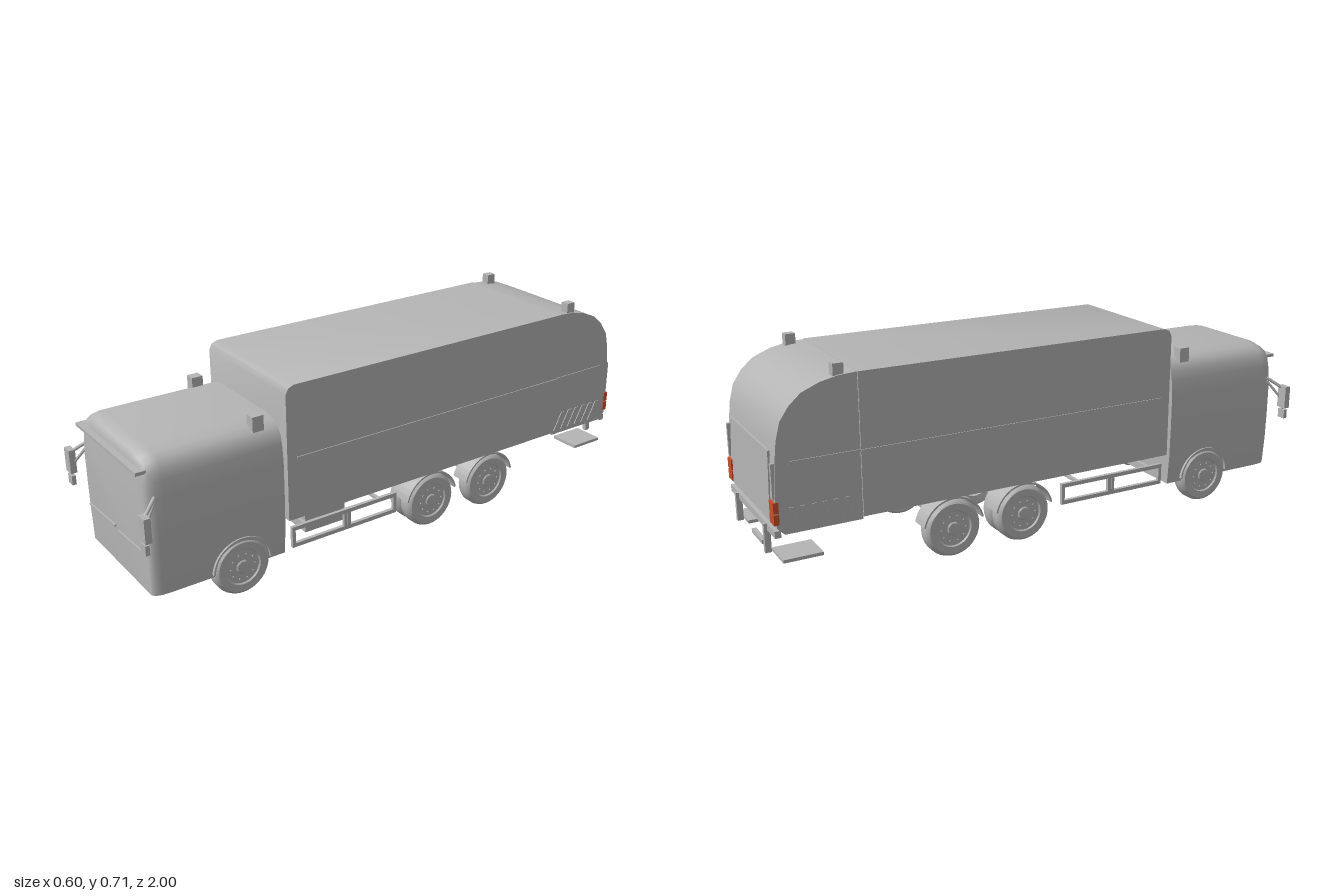
import * as THREE from 'three';
import { toCreasedNormals } from 'three/addons/utils/BufferGeometryUtils.js';

const grey = new THREE.MeshStandardMaterial({ color: 0xb4b4b4 });
grey.name = 'body grey';
const red = new THREE.MeshStandardMaterial({ color: 0xc84e2a });
red.name = 'lamp red';

// Closed side profile from [z, y] points
const sideShape = (points) => new THREE.Shape(points.map(([z, y]) => new THREE.Vector2(-z, y)));

export function createModel() {
  const model = new THREE.Group();
  model.name = 'refuseTruck';

  const add = (name, geo, mat = grey) => {
    const m = new THREE.Mesh(geo, mat);
    m.name = name;
    model.add(m);
    return m;
  };
  // Box given by its limits on each axis
  const box = (name, x0, x1, y0, y1, z0, z1, mat) => {
    const m = add(name, new THREE.BoxGeometry(Math.abs(x1 - x0), y1 - y0, z1 - z0), mat);
    m.position.set((x0 + x1) / 2, (y0 + y1) / 2, (z0 + z1) / 2);
    return m;
  };
  // Straight bar between two points
  const bar = (name, a, b, r) => {
    const p = new THREE.Vector3(...a), q = new THREE.Vector3(...b);
    const m = add(name, new THREE.CylinderGeometry(r, r, p.distanceTo(q), 8));
    m.position.copy(p).add(q).multiplyScalar(0.5);
    m.quaternion.setFromUnitVectors(new THREE.Vector3(0, 1, 0), q.sub(p).normalize());
    return m;
  };
  // Side shape extruded from x0 to x1
  const slab = (name, shape, x0, x1) => {
    const geo = new THREE.ExtrudeGeometry(shape, { depth: x1 - x0, bevelEnabled: false, curveSegments: 20 });
    geo.rotateY(Math.PI / 2).translate(x0, 0, 0);
    return add(name, toCreasedNormals(geo, 0.5));
  };
  // Arched strip around a wheel centre
  const arch = (name, z, r0, r1, x0, x1, start) => {
    const s = new THREE.Shape();
    s.absarc(0, 0, r1, start, Math.PI - start, false);
    s.absarc(0, 0, r0, Math.PI - start, start, true);
    slab(name, s, x0, x1).position.set(0, 0.1, z);
  };

  // Cab: half outline lofted along z with a rounded front edge
  const half = [[0.236, 0.093], [0.244, 0.2], [0.246, 0.3], [0.246, 0.43], [0.24, 0.485],
    [0.232, 0.52], [0.215, 0.544], [0.19, 0.557], [0.15, 0.566]];
  const outline = [...half, ...half.map(([x, y]) => [-x, y]).reverse()];
  // Each section: z, inset of the sides, drop of the roof
  const sections = [[0.49, 0, 0], [0.905, 0, 0], [0.93, 0.002, 0.005], [0.947, 0.007, 0.014],
    [0.956, 0.014, 0.03], [0.96, 0.021, 0.052]];
  const n = outline.length, pos = [], index = [];
  for (const [z, side, drop] of sections)
    for (const [x, y] of outline) {
      const t = Math.max(0, (y - 0.3) / 0.266);
      pos.push(x - Math.sign(x) * side, y - drop * t, z);
    }
  for (let i = 0; i < sections.length - 1; i++)
    for (let j = 0; j < n; j++) {
      const a = i * n + j, b = i * n + (j + 1) % n;
      index.push(a, b, b + n, a, b + n, a + n);
    }
  const last = (sections.length - 1) * n;
  for (let j = 1; j < n - 1; j++) {
    index.push(0, j + 1, j);
    index.push(last, last + j, last + j + 1);
  }
  const cabGeo = new THREE.BufferGeometry();
  cabGeo.setAttribute('position', new THREE.Float32BufferAttribute(pos, 3));
  cabGeo.setIndex(index);
  add('cab', toCreasedNormals(cabGeo, 0.6));
  box('sunVisor', -0.222, 0.222, 0.51, 0.521, 0.945, 0.98);
  for (const x of [-0.115, 0.112])
    box('wiper', x - 0.102, x + 0.102, 0.226, 0.232, 0.958, 0.966).rotation.z = 0.05;

  // Load body and rounded tail
  slab('loadBody', sideShape([[0.476, 0.21], [0.476, 0.652], [0.466, 0.672], [0.445, 0.681],
    [-0.7, 0.681], [-0.7, 0.21]]), -0.246, 0.246);
  slab('tail', sideShape([[-0.7, 0.2], [-0.7, 0.68], [-0.76, 0.676], [-0.82, 0.663], [-0.88, 0.638],
    [-0.92, 0.602], [-0.95, 0.558], [-0.965, 0.5], [-0.973, 0.43], [-0.979, 0.32], [-0.979, 0.225],
    [-0.955, 0.2]]), -0.241, 0.241);
  box('tailPanel', -0.195, 0.195, 0.24, 0.46, -0.982, -0.974).rotation.x = 0.03;

  // Chassis
  box('cabRearCrossmember', -0.1, 0.1, 0.145, 0.195, 0.44, 0.5);
  box('rearCrossmember', -0.1, 0.1, 0.15, 0.2, -0.855, -0.835);
  box('sideTank', 0.1, 0.19, 0.11, 0.185, 0.22, 0.38);
  for (const z of [0.652, -0.118, -0.385]) bar('axle', [-0.2, 0.1, z], [0.2, 0.1, z], 0.012);

  // Rear bumper
  box('rearBumper', -0.235, 0.235, 0.19, 0.213, -0.985, -0.965);
  box('towBar', -0.055, 0.055, 0.102, 0.116, -0.975, -0.96);

  // Wheel profile from inner to outer side: radius, axial offset
  const wheelGeo = toCreasedNormals(new THREE.LatheGeometry([
    [0, -0.02], [0.028, -0.02], [0.03, -0.005], [0.056, -0.005], [0.06, -0.027], [0.088, -0.03],
    [0.096, -0.024], [0.1, -0.014], [0.1, 0.014], [0.096, 0.024], [0.088, 0.03], [0.064, 0.029],
    [0.06, 0.024], [0.024, 0.026], [0.02, 0.03], [0, 0.031],
  ].map(([r, y]) => new THREE.Vector2(r, y)), 40), 0.6);
  const nutGeo = new THREE.CylinderGeometry(0.003, 0.003, 0.006, 6).rotateZ(Math.PI / 2);
  const wheel = (s, x, z) => {
    const w = add('wheel', wheelGeo);
    w.position.set(s * x, 0.1, z);
    w.rotation.z = -s * Math.PI / 2;
  };
  const wheelNuts = (s, x, z) => {
    for (let i = 0; i < 10; i++) {
      const a = i * Math.PI / 5;
      add('wheelNut', nutGeo).position.set(s * (x + 0.026), 0.1 + 0.045 * Math.sin(a), z + 0.045 * Math.cos(a));
    }
  };

  // Everything mirrored left and right
  for (const s of [1, -1]) {
    const sbox = (name, x0, x1, ...rest) => box(name, s * x0, s * x1, ...rest);
    const span = (x0, x1) => (s > 0 ? [x0, x1] : [-x1, -x0]);

    sbox('chassisRail', 0.075, 0.095, 0.145, 0.198, -0.855, 0.5);
    sbox('subframe', 0.075, 0.095, 0.198, 0.211, -0.7, 0.47);

    // Single front and rear wheels, twin wheels on the middle axle
    for (const [x, z] of [[0.217, 0.652], [0.214, -0.118], [0.214, -0.385]]) {
      wheel(s, x, z);
      wheelNuts(s, x, z);
    }
    wheel(s, 0.151, -0.118);
    for (const z of [-0.118, -0.385]) arch('rearFender', z, 0.106, 0.112, ...span(0.175, 0.246), 0.22);
    arch('frontArchLip', 0.652, 0.101, 0.107, ...span(0.225, 0.249), 0.05);

    // Side guard frame
    sbox('guardTop', 0.225, 0.238, 0.162, 0.176, 0.035, 0.46);
    sbox('guardBottom', 0.225, 0.238, 0.1, 0.114, 0.035, 0.46);
    for (const z of [0.035, 0.228, 0.242, 0.448]) sbox('guardPost', 0.225, 0.238, 0.1, 0.176, z, z + 0.012);
    for (const z of [0.1, 0.4]) sbox('guardBracket', 0.09, 0.23, 0.165, 0.175, z, z + 0.012);

    // Beacons
    sbox('cabBeacon', 0.181, 0.217, 0.54, 0.593, 0.54, 0.58);
    sbox('tailBeacon', 0.204, 0.235, 0.66, 0.712, -0.775, -0.74);

    // Mirrors on arms
    sbox('mirror', 0.262, 0.302, 0.325, 0.408, 0.978, 1.0);
    sbox('smallMirror', 0.262, 0.294, 0.283, 0.316, 0.985, 0.999);
    bar('mirrorArm', [s * 0.243, 0.437, 0.935], [s * 0.275, 0.4, 0.985], 0.006);
    bar('mirrorArm', [s * 0.243, 0.425, 0.935], [s * 0.268, 0.36, 0.985], 0.005);
    bar('mirrorStem', [s * 0.278, 0.3, 0.99], [s * 0.278, 0.34, 0.99], 0.004);

    // Trim line and slanted stripes on the sides
    sbox('bodyTrim', 0.244, 0.249, 0.424, 0.432, -0.7, 0.44);
    sbox('tailTrim', 0.239, 0.244, 0.424, 0.432, -0.93, -0.7);
    for (let i = 0; i < 6; i++) {
      const z = -0.708 - i * 0.036;
      slab('slantStripe', sideShape([[z, 0.215], [z - 0.035, 0.285], [z - 0.051, 0.285], [z - 0.016, 0.215]]),
        ...span(0.239, 0.244));
    }

    // Rear lamps, marker strips and steps
    sbox('upperRearLamp', 0.203, 0.243, 0.273, 0.308, -0.987, -0.97, red);
    sbox('lowerRearLamp', 0.203, 0.243, 0.235, 0.269, -0.987, -0.97, red);
    sbox('markerStrip', 0.224, 0.236, 0.315, 0.43, -0.985, -0.968);
    sbox('stepHanger', 0.142, 0.158, 0.115, 0.213, -0.995, -0.975);
    sbox('rearStep', 0.125, 0.238, 0.105, 0.116, -0.965, -0.835);
  }
  return model;
}
